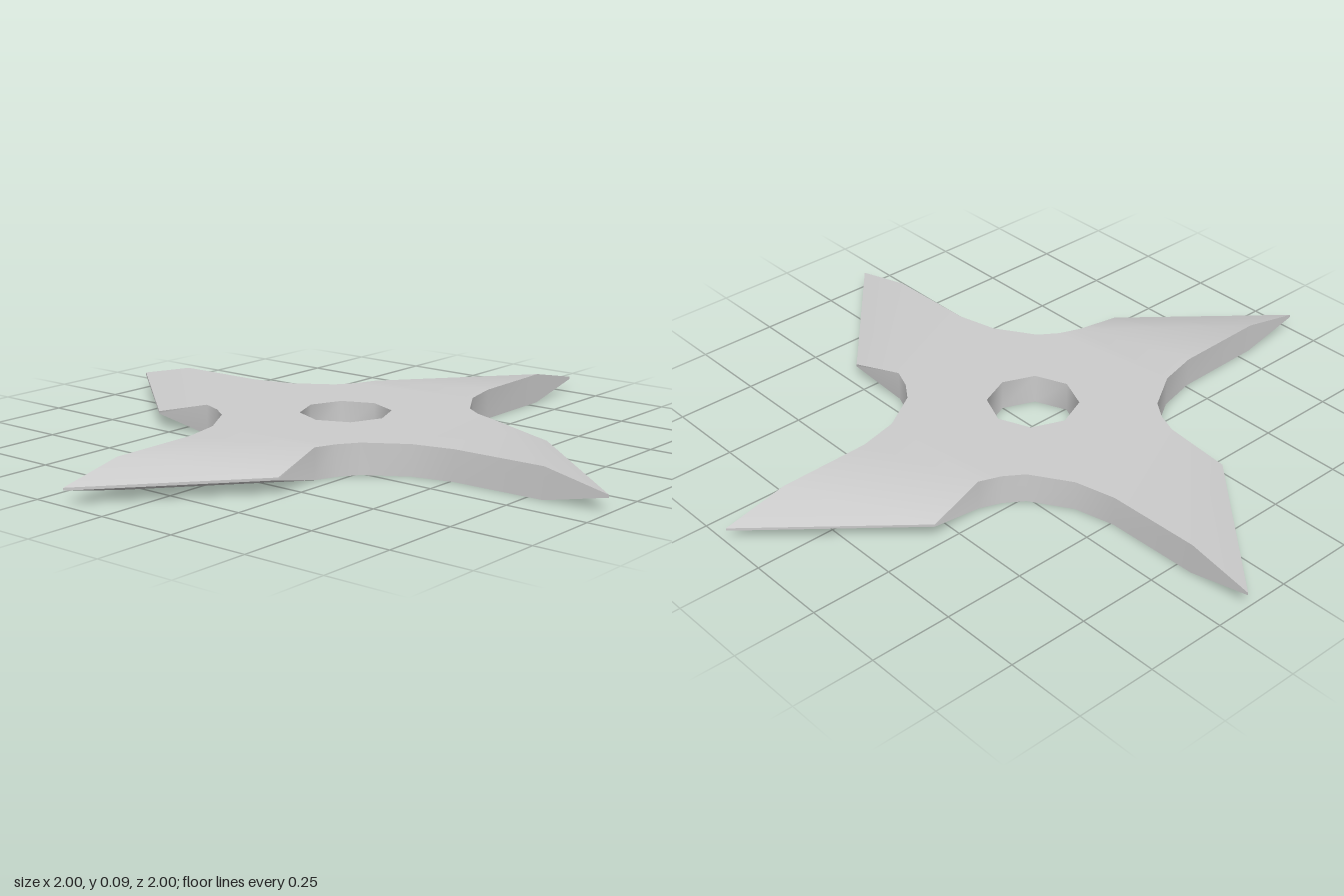
import * as THREE from 'three';
import { toCreasedNormals } from 'three/addons/utils/BufferGeometryUtils.js';

const MID = 0.049, FULL = 0.047, EDGE = 0.004; // mid height, half thickness of body and of cutting edge

// One arm of the star, as [x, z, half thickness]
const armPoints = {
  heel: [0.385, -0.2, FULL],
  barb: [0.565, -0.225, EDGE],
  tip: [1, 0.146, EDGE],
  bevelEnd: [0.8, 0.149, FULL],
  back: [0.51, 0.156, FULL],
  root: [0.385, 0.186, FULL],
  notchA: [0.265, 0.262, FULL],
  notchB: [0.225, 0.32, FULL],
};

// Quarter turns about the vertical axis
function turn([x, z, h], n) {
  for (let i = 0; i < n; i++) [x, z] = [-z, x];
  return [x, z, h];
}

function createStarGeometry() {
  const pos = [];
  const top = p => [p[0], MID + p[2], p[1]];
  const bottom = p => [p[0], MID - p[2], p[1]];
  const tri = (a, b, c) => pos.push(...a, ...b, ...c);

  // Matching triangles on the upper and lower face
  function faces(a, b, c) {
    const cross = (b[0] - a[0]) * (c[1] - a[1]) - (b[1] - a[1]) * (c[0] - a[0]);
    if (cross > 0) [b, c] = [c, b];
    tri(top(a), top(b), top(c));
    tri(bottom(a), bottom(c), bottom(b));
  }

  // Rim between the two faces
  function wall(p, q) {
    tri(top(p), top(q), bottom(q));
    tri(top(p), bottom(q), bottom(p));
  }

  const outline = [], hub = [], hole = [];
  for (let n = 0; n < 4; n++) {
    const [heel, barb, tip, bevelEnd, back, root, notchA, notchB] =
      Object.values(armPoints).map(p => turn(p, n));
    outline.push(heel, barb, tip, bevelEnd, back, root, notchA, notchB);
    hub.push(heel, root, notchA, notchB);
    // flat part of the arm
    faces(heel, back, root);
    faces(heel, bevelEnd, back);
    // bevel down to the cutting edge
    faces(heel, barb, bevelEnd);
    faces(barb, tip, bevelEnd);
  }

  // Octagonal centre hole
  for (let i = 0; i < 8; i++) {
    const a = i * Math.PI / 4;
    hole.push([0.138 * Math.cos(a), 0.138 * Math.sin(a) - 0.004, FULL]);
  }

  // Hub around the hole
  const flat = list => list.map(p => new THREE.Vector2(p[0], p[1]));
  const all = [...hub, ...hole];
  for (const [a, b, c] of THREE.ShapeUtils.triangulateShape(flat(hub), [flat(hole)])) {
    faces(all[a], all[b], all[c]);
  }

  outline.forEach((p, i) => wall(p, outline[(i + 1) % outline.length]));
  hole.forEach((p, i) => wall(hole[(i + 1) % hole.length], p));

  const geometry = new THREE.BufferGeometry();
  geometry.setAttribute('position', new THREE.Float32BufferAttribute(pos, 3));
  return toCreasedNormals(geometry, 0.85);
}

export function createModel() {
  const group = new THREE.Group();
  group.name = 'throwingStar';
  const blade = new THREE.Mesh(
    createStarGeometry(),
    new THREE.MeshStandardMaterial({ color: 0xcccccc })
  );
  blade.name = 'fourPointedBlade';
  group.add(blade);
  return group;
}
